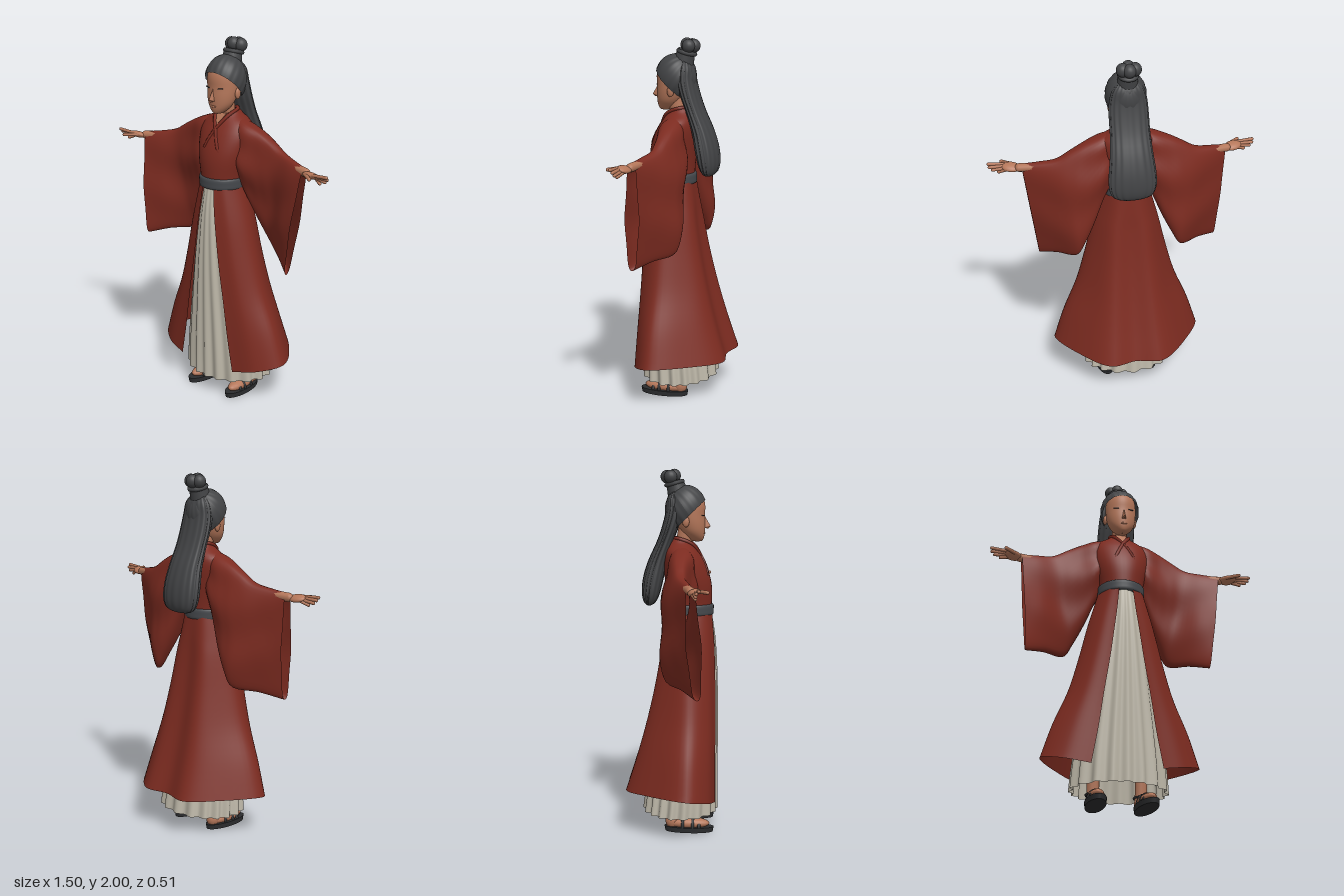
import * as THREE from 'three';
import { ConvexGeometry } from 'three/addons/geometries/ConvexGeometry.js';

const V = (x, y, z) => new THREE.Vector3(x, y, z);
const mat = (name, color, double) => {
  const m = new THREE.MeshStandardMaterial({ color });
  m.name = name;
  if (double) m.side = THREE.DoubleSide;
  return m;
};

// Smooth skin over a list of equal-length point rows
function loft(rows, closed, steps) {
  const n = rows[0].length;
  const cols = rows[0].map((_, j) => new THREE.CatmullRomCurve3(rows.map(r => r[j])).getPoints(steps));
  const pos = [], idx = [];
  for (let i = 0; i <= steps; i++) for (let j = 0; j < n; j++) pos.push(...cols[j][i].toArray());
  for (let i = 0; i < steps; i++) for (let j = 0; j < (closed ? n : n - 1); j++) {
    const k = (j + 1) % n, a = i * n + j, b = a + n, c = i * n + k, d = c + n;
    idx.push(a, b, c, c, b, d);
  }
  const g = new THREE.BufferGeometry();
  g.setAttribute('position', new THREE.Float32BufferAttribute(pos, 3));
  g.setIndex(idx);
  g.computeVertexNormals();
  return g;
}

// Level oval with optional pleats: height, half width, front z, back z
function ring([y, w, zf, zb], n = 40, folds = 0, amp = 0) {
  return Array.from({ length: n }, (_, j) => {
    const a = j / n * Math.PI * 2, r = 1 - amp * (0.5 - 0.5 * Math.cos(folds * a + Math.sin(3 * a)));
    return V(w * r * Math.sin(a), y, (zf + zb) / 2 + (zf - zb) / 2 * r * Math.cos(a));
  });
}

export function createModel() {
  const model = new THREE.Group();
  const red = mat('robe red', 0x7c2b20, true);
  const cream = mat('skirt cream', 0xbdb7a8, true);
  const hair = mat('hair charcoal', 0x434446, true);
  const sash = mat('sash grey', 0x45484c, true);
  const skin = mat('skin', 0xb5775a);
  const dark = mat('sandal black', 0x2c2d2f);

  const add = (name, geo, m, parent = model) => {
    const mesh = new THREE.Mesh(geo, m);
    mesh.name = name;
    parent.add(mesh);
    return mesh;
  };
  const ball = (name, m, p, s, parent) => {
    const b = add(name, new THREE.SphereGeometry(1, 20, 14), m, parent);
    b.position.set(...p);
    b.scale.set(...s);
    return b;
  };
  const limb = (name, m, a, b, r, parent) => {
    const d = b.clone().sub(a);
    const c = add(name, new THREE.CapsuleGeometry(r, d.length(), 5, 10), m, parent);
    c.position.copy(a).addScaledVector(d, 0.5);
    c.quaternion.setFromUnitVectors(V(0, 1, 0), d.normalize());
    return c;
  };

  // Pleated inner skirt
  const skirtRows = [
    [1.23, 0.08, 0.208, 0], [1.12, 0.098, 0.228, -0.015], [1.0, 0.122, 0.24, -0.025], [0.8, 0.16, 0.248, -0.055],
    [0.6, 0.195, 0.25, -0.09], [0.4, 0.23, 0.25, -0.13], [0.22, 0.257, 0.25, -0.155], [0.095, 0.268, 0.25, -0.172]];
  add('innerSkirt', loft(skirtRows.map((r, i) => ring(r, 192, 18, 0.02 + 0.011 * i)), true, 28), cream);

  // Outer robe skirt, open at the front: height, half width, opening, front z, side z, back z
  const robeRows = [
    [1.24, 0.122, 0.035, 0.212, 0.09, -0.035], [1.1, 0.162, 0.05, 0.224, 0.09, -0.05],
    [1.0, 0.188, 0.064, 0.23, 0.09, -0.06], [0.8, 0.235, 0.092, 0.235, 0.09, -0.09],
    [0.6, 0.29, 0.125, 0.236, 0.09, -0.13], [0.4, 0.37, 0.155, 0.236, 0.088, -0.18], [0.21, 0.43, 0.19, 0.236, 0.085, -0.235]]
    .map(([y, w, e, zf, zs, zb], i) => {
      const t = i / 6, bx = 0.06 + 0.09 * t;
      const half = s => [
        V(s * e, y - 0.03 * t, zf), V(s * (e + 0.6 * (w - e)), y, zf * 0.72 + zs * 0.28),
        V(s * w, y + 0.03 * t, zs), V(s * (bx + w) * 0.53, y + 0.03 * t, zs * 0.35 + zb * 0.65),
        V(s * bx, y + 0.02 * t, zb - 0.022 * t + 0.008 * (1 - t))];
      const pts = [...half(1), V(0, y + 0.02 * t, zb), ...half(-1).reverse()];
      return new THREE.CatmullRomCurve3(pts).getPoints(70);
    });
  add('robeSkirt', loft(robeRows, false, 28), red);

  // Robe bodice, crossed collar and sash
  const bodice = [
    [1.62, 0.05, 0.085, -0.012], [1.595, 0.075, 0.105, -0.03], [1.55, 0.145, 0.137, -0.05], [1.5, 0.162, 0.168, -0.055],
    [1.42, 0.155, 0.2, -0.05], [1.35, 0.142, 0.213, -0.042], [1.26, 0.124, 0.212, -0.036], [1.2, 0.124, 0.208, -0.036]];
  add('robeBodice', loft(bodice.map(r => ring(r)), true, 28), red);
  for (const s of [1, -1]) {
    const path = new THREE.CatmullRomCurve3([V(0, 1.622, -0.012), V(s * 0.05, 1.622, 0.03), V(s * 0.043, 1.593, 0.103),
      V(0, 1.525, 0.151), V(-s * 0.045, 1.43, 0.186), V(-s * 0.06, 1.39, 0.18)]);
    add(s > 0 ? 'leftCollar' : 'rightCollar', new THREE.TubeGeometry(path, 30, 0.01, 6), red);
  }
  const neckline = new ConvexGeometry([V(-0.034, 1.605, 0.104), V(0.034, 1.605, 0.104), V(0, 1.535, 0.151),
    V(-0.034, 1.605, 0.096), V(0.034, 1.605, 0.096), V(0, 1.535, 0.143)]);
  add('necklineSkin', neckline, skin);
  const sashRows = [[1.264, 0.118, 0.205, -0.03], [1.259, 0.13, 0.221, -0.045], [1.23, 0.132, 0.223, -0.047],
    [1.206, 0.13, 0.221, -0.045], [1.2, 0.118, 0.205, -0.03]];
  add('sash', loft(sashRows.map(r => ring(r)), true, 12), sash);

  // Wide hanging sleeves, arms and hands
  for (const s of [1, -1]) {
    const arm = new THREE.Group();
    arm.name = s > 0 ? 'leftArm' : 'rightArm';
    arm.scale.x = s;
    model.add(arm);
    const cuffX = s > 0 ? 0.49 : 0.535, cuff = cuffX - 0.51;
    // top x, top y, top z, bottom x, bottom y, bottom z, half depth
    const sections = [
      [0.06, 1.588, 0.045, 0.07, 1.3, 0.045, 0.05], [0.15, 1.562, 0.05, 0.13, 1.2, 0.04, 0.085],
      [0.24, 1.525, 0.045, 0.195, 1.05, 0.01, 0.08], [0.31, 1.487, 0.045, 0.25, 0.94, -0.01, 0.072],
      [0.385, 1.443, 0.052, 0.295, 0.868, -0.012, 0.062], [0.48, 1.42, 0.08, 0.41 + cuff / 2, 0.845, 0.07, 0.052],
      [0.57, 1.405, 0.105, cuffX, 0.812, 0.142, 0.036]];
    const rows = sections.map(([xt, yt, zt, xb, yb, zb, d], i) => Array.from({ length: 48 }, (_, j) => {
      const a = j / 48 * Math.PI * 2, f = 0.5 - 0.5 * Math.cos(a), q = Math.sin(a);
      const fold = 1 + 0.12 * Math.sin(f * 11 + i * 1.4) * Math.abs(q);
      return V(xt + (xb - xt) * f, yt + (yb - yt) * f, zt + (zb - zt) * f + d * fold * Math.sign(q) * Math.abs(q) ** 0.7);
    }));
    add('sleeve', loft(rows, true, 28), red, arm);
    limb('forearm', skin, V(0.36, 1.4, 0.05), V(0.58, 1.383, 0.108), 0.024, arm);
    const palm = ball('palm', skin, [0.622, 1.382, 0.126], [0.052, 0.018, 0.034], arm);
    palm.rotation.set(-0.35, -0.25, 0);
    [[0.742, 1.398, 0.152], [0.738, 1.384, 0.14], [0.722, 1.368, 0.136], [0.69, 1.354, 0.135]].forEach((tip, i) =>
      limb('finger', skin, V(0.645, 1.392 - i * 0.006, 0.148 - i * 0.011), V(...tip), 0.009, arm));
    limb('thumb', skin, V(0.605, 1.386, 0.145), V(0.668, 1.385, 0.194), 0.01, arm);
  }

  // Neck and head
  limb('neck', skin, V(0, 1.52, 0.045), V(0, 1.68, 0.07), 0.045);
  const face = [
    [1.88, 0.03, 0.12, 0.04], [1.84, 0.078, 0.163, 0.01], [1.8, 0.086, 0.174, 0], [1.75, 0.086, 0.172, 0.01],
    [1.7, 0.081, 0.174, 0.02], [1.66, 0.069, 0.172, 0.04], [1.63, 0.048, 0.168, 0.065], [1.61, 0.024, 0.158, 0.095],
    [1.604, 0.001, 0.135, 0.133]];
  add('face', loft(face.map(r => ring(r)), true, 28), skin);
  add('nose', new ConvexGeometry([V(0, 1.745, 0.171), V(0, 1.688, 0.204), V(0.014, 1.68, 0.169),
    V(-0.014, 1.68, 0.169), V(0, 1.675, 0.19), V(0, 1.7, 0.15)]), skin);
  ball('lips', skin, [0, 1.65, 0.169], [0.018, 0.006, 0.006]);
  for (const s of [1, -1]) {
    ball('ear', skin, [s * 0.086, 1.715, 0.07], [0.012, 0.03, 0.019]);
    const lash = add('eyelash', new THREE.BoxGeometry(0.03, 0.004, 0.006), dark);
    lash.position.set(s * 0.043, 1.748, 0.163);
    lash.rotation.set(0, s * 0.35, s * 0.1);
  }

  // Combed hair cap
  const cap = new THREE.SphereGeometry(1, 96, 20, 0, Math.PI * 2, 0, 1.87);
  const p = cap.attributes.position;
  for (let i = 0; i < p.count; i++) {
    const k = 1 + 0.01 * Math.cos(18 * Math.atan2(p.getZ(i), p.getX(i))) * Math.hypot(p.getX(i), p.getZ(i));
    p.setXYZ(i, p.getX(i) * k, p.getY(i) * k, p.getZ(i) * k);
  }
  cap.rotateX(-0.7).scale(0.111, 0.133, 0.115).translate(0, 1.78, 0.068);
  cap.computeVertexNormals();
  add('hairCap', cap, hair);

  // Long loose hair down the back
  const tail = [
    [1.88, 0.05, 0.03, -0.012], [1.84, 0.085, 0.05, -0.036], [1.78, 0.102, 0.055, -0.042], [1.7, 0.108, 0.035, -0.06],
    [1.61, 0.109, 0, -0.09], [1.5, 0.118, -0.035, -0.14], [1.4, 0.13, -0.055, -0.17], [1.32, 0.129, -0.075, -0.176],
    [1.275, 0.108, -0.095, -0.166], [1.256, 0.062, -0.115, -0.15], [1.252, 0.002, -0.132, -0.134]];
  add('longHair', loft(tail.map(r => ring(r, 120, 16, 0.05)), true, 36), hair);

  // Topknot
  const base = add('topknotBase', new THREE.CylinderGeometry(0.048, 0.056, 0.07, 24), hair);
  base.position.set(0, 1.9, 0.015);
  base.rotation.x = -0.25;
  const tie = add('topknotTie', new THREE.TorusGeometry(0.046, 0.012, 8, 28), hair);
  tie.position.set(0, 1.922, 0.005);
  tie.rotation.x = Math.PI / 2 - 0.25;
  [[0.033, 1.957, -0.015], [-0.033, 1.957, -0.015], [0, 1.963, 0.004], [0, 1.957, -0.035]].forEach(c =>
    ball('topknotLobe', hair, c, [0.035, 0.037, 0.036]));

  // Legs and strapped sandals
  for (const s of [1, -1]) {
    const leg = new THREE.Group();
    leg.name = s > 0 ? 'leftLeg' : 'rightLeg';
    leg.position.x = s * 0.13;
    leg.rotation.y = s * 0.06;
    model.add(leg);
    limb('shin', skin, V(0, 0.08, 0), V(0, 0.5, 0.03), 0.034, leg);
    ball('foot', skin, [0, 0.046, 0.085], [0.044, 0.032, 0.122], leg);
    ball('heel', skin, [0, 0.055, 0.0], [0.036, 0.045, 0.04], leg);
    const sole = add('sole', new THREE.CylinderGeometry(1, 0.96, 0.028, 32), dark, leg);
    sole.scale.set(0.055, 1, 0.138);
    sole.position.set(0, 0.014, 0.092);
    [[0.15, 0.042, 0.046], [0.115, 0.046, 0.06], [0.06, 0.045, 0.068]].forEach(([z, w, h]) => {
      const strap = add('strap', new THREE.TorusGeometry(1, 0.13, 8, 20, Math.PI), dark, leg);
      strap.scale.set(w, h, 0.07);
      strap.position.set(0, 0.018, z);
    });
    const ankle = add('ankleStrap', new THREE.TorusGeometry(0.037, 0.006, 8, 24), dark, leg);
    ankle.rotation.x = Math.PI / 2;
    ankle.position.set(0, 0.085, 0);
  }
  return model;
}
